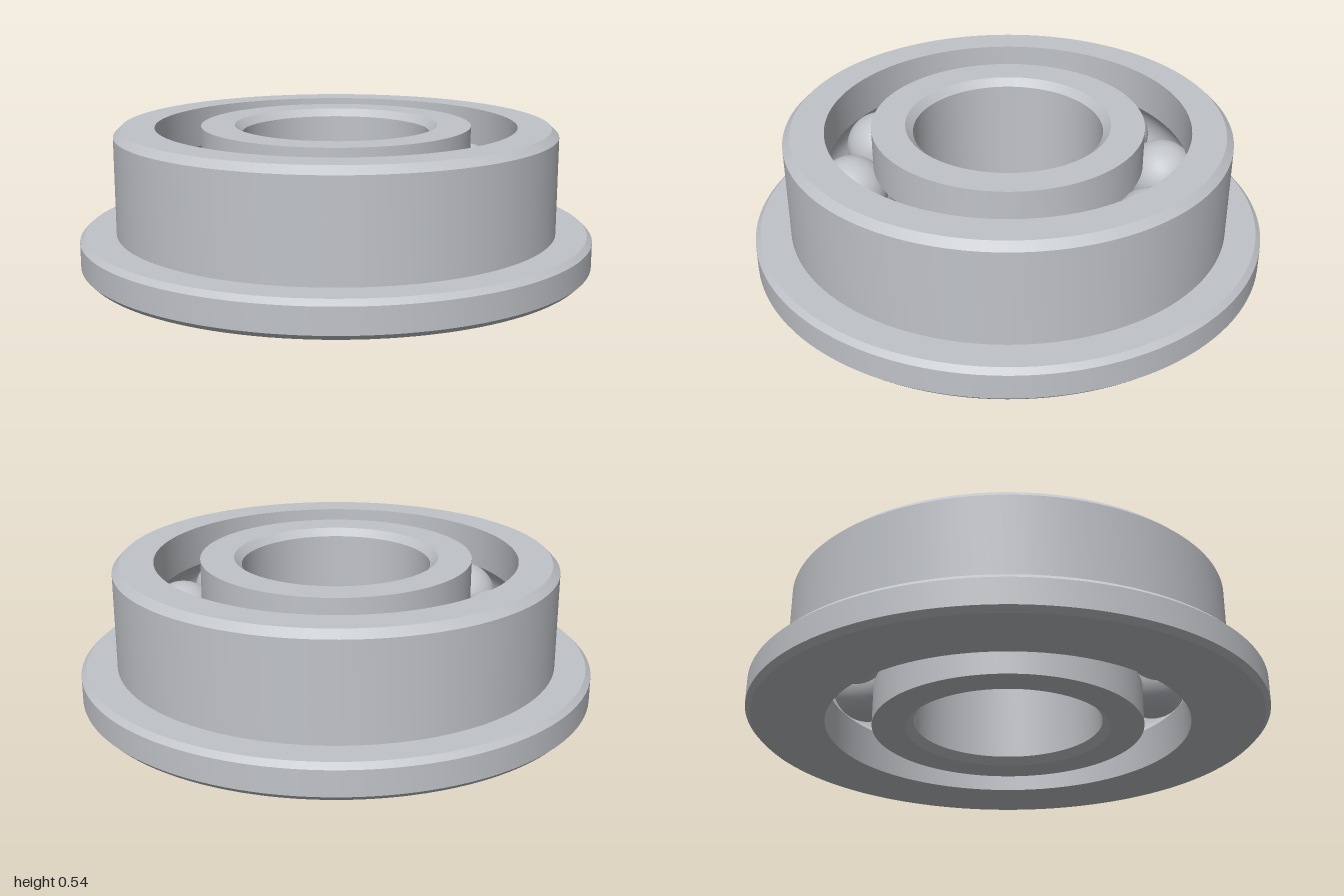
import * as THREE from 'three';
import { toCreasedNormals } from 'three/addons/utils/BufferGeometryUtils.js';

const HEIGHT = 0.543, MID = HEIGHT / 2;
const PITCH = 0.613, BALL_R = 0.14, GROOVE_R = 0.142, BALLS = 10;
const INNER_WALL = 0.525, OUTER_WALL = 0.703;

// Raceway arc in (radius, y): side +1 cuts the outer ring, -1 the inner ring
function raceway(side, wall) {
  const half = Math.acos(Math.abs(wall - PITCH) / GROOVE_R);
  const points = [];
  for (let i = 0; i <= 12; i++) {
    const t = side * half * (1 - i / 6);
    points.push([PITCH + side * GROOVE_R * Math.cos(t), MID + GROOVE_R * Math.sin(t)]);
  }
  return points;
}

// Turns a closed counter-clockwise profile, keeping its corners sharp
function turned(name, profile, material) {
  const points = [...profile, profile[0]].map(([r, y]) => new THREE.Vector2(r, y));
  const geometry = toCreasedNormals(new THREE.LatheGeometry(points, 128), 0.5);
  const mesh = new THREE.Mesh(geometry, material);
  mesh.name = name;
  return mesh;
}

export function createModel() {
  const model = new THREE.Group();
  model.name = 'flangedBallBearing';
  const steel = new THREE.MeshStandardMaterial({ color: 0xc0c3c8 });
  steel.name = 'steel';

  // Outer ring with chamfered flange at the base
  model.add(turned('outerRing', [
    [OUTER_WALL, 0], [0.98, 0], [1, 0.02], [1, 0.118], [0.98, 0.138],
    [0.861, 0.138], [0.861, 0.515], [0.833, HEIGHT], [OUTER_WALL, HEIGHT],
    ...raceway(1, OUTER_WALL),
  ], steel));

  // Inner ring with chamfered bore
  model.add(turned('innerRing', [
    [0.366, 0.029], [0.395, 0], [INNER_WALL, 0],
    ...raceway(-1, INNER_WALL),
    [INNER_WALL, HEIGHT], [0.395, HEIGHT], [0.366, HEIGHT - 0.029],
  ], steel));

  // Balls spaced evenly in the raceway
  const balls = new THREE.Group();
  balls.name = 'balls';
  const ballGeometry = new THREE.SphereGeometry(BALL_R, 40, 24);
  for (let i = 0; i < BALLS; i++) {
    const angle = (i / BALLS) * Math.PI * 2;
    const ball = new THREE.Mesh(ballGeometry, steel);
    ball.name = 'ball';
    ball.position.set(PITCH * Math.cos(angle), MID, PITCH * Math.sin(angle));
    balls.add(ball);
  }
  model.add(balls);
  return model;
}
